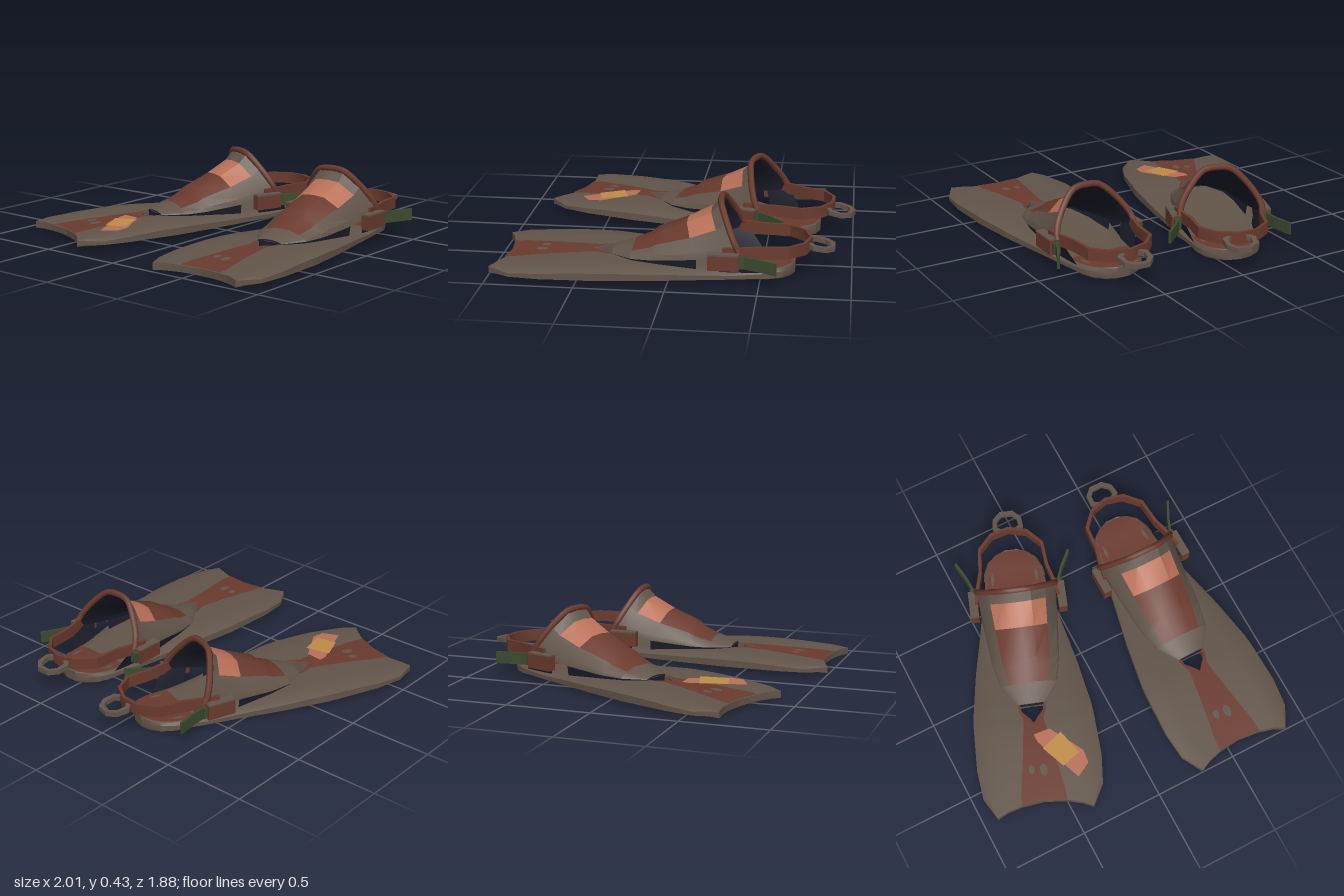
import * as THREE from 'three';
import { toCreasedNormals } from 'three/addons/utils/BufferGeometryUtils.js';

const mat = (name, color, side = THREE.FrontSide) => {
  const m = new THREE.MeshStandardMaterial({ color, side });
  m.name = name;
  return m;
};
const brown = mat('taupe rubber', 0x62554a);
const red = mat('rust red', 0x6a3a2e);
const salmon = mat('salmon', 0xb87058);
const amber = mat('amber', 0xc08c48);
const navy = mat('dark navy', 0x1b1d2a, THREE.DoubleSide);
const green = mat('olive green', 0x3c4a30);

// Piecewise linear curve through [x, value] pairs
const curve = (pts) => (x) => {
  if (x <= pts[0][0]) return pts[0][1];
  for (let i = 1; i < pts.length; i++) {
    const [x0, v0] = pts[i - 1], [x1, v1] = pts[i];
    if (x <= x1) return v0 + (v1 - v0) * (x - x0) / (x1 - x0);
  }
  return pts[pts.length - 1][1];
};

// Skin between rows of points
function loft(rows, flip = false) {
  const pos = [], n = rows[0].length, idx = [];
  rows.forEach((r) => r.forEach((p) => pos.push(...p)));
  for (let i = 0; i < rows.length - 1; i++) {
    for (let j = 0; j < n - 1; j++) {
      const a = i * n + j, b = a + 1, d = a + n, c = d + 1;
      if (flip) idx.push(a, c, b, a, d, c);
      else idx.push(a, b, c, a, c, d);
    }
  }
  const g = new THREE.BufferGeometry();
  g.setAttribute('position', new THREE.Float32BufferAttribute(pos, 3));
  g.setIndex(idx);
  return toCreasedNormals(g, 0.6);
}

function add(parent, name, geo, material) {
  const m = new THREE.Mesh(geo, material);
  m.name = name;
  parent.add(m);
  return m;
}

function box(parent, name, size, at, material) {
  add(parent, name, new THREE.BoxGeometry(...size), material).position.set(...at);
}

// Upright ribbon along [x, z, y] points
function band(parent, name, pts, height, thick, material) {
  const rows = pts.map(([x, z, y], i) => {
    const p = pts[Math.max(i - 1, 0)], q = pts[Math.min(i + 1, pts.length - 1)];
    const dx = q[0] - p[0], dz = q[1] - p[1], k = thick / 2 / Math.hypot(dx, dz);
    const nx = -dz * k, nz = dx * k, h = height / 2;
    return [[x - nx, y + h, z - nz], [x + nx, y + h, z + nz],
      [x + nx, y - h, z + nz], [x - nx, y - h, z - nz], [x - nx, y + h, z - nz]];
  });
  const cap = (r) => [[r[0], r[1]], [r[3], r[2]]];
  add(parent, name, loft(rows), material);
  add(parent, name + 'Start', loft(cap(rows[0]), true), material);
  add(parent, name + 'End', loft(cap(rows[rows.length - 1])), material);
}

// Blade and sole curves along the length
const halfWidth = curve([[-1, .31], [-.9, .355], [-.7, .372], [-.4, .36], [-.1, .31], [.2, .245],
  [.35, .22], [.45, .2], [.55, .185], [.62, .155], [.66, .105], [.685, .04]]);
const holeWidth = curve([[-.46, 0], [-.43, .02], [-.38, .065], [-.34, .07], [-.335, 0]]);
const redWidth = curve([[-1, .135], [-.9, .13], [-.7, .1], [-.5, .07], [-.43, .06], [-.38, .08], [-.335, .085]]);
const topY = curve([[-1, .05], [-.85, .06], [-.5, .077], [-.3, .075], [0, .06], [.35, .045], [.5, .05], [.62, .06]]);
const bottomY = curve([[-.5, .012], [.2, 0]]);
const stations = [-1, -.9, -.7, -.58, -.46, -.43, -.38, -.34, -.335, -.2, -.1, .1, .2, .35, .45, .55, .62, .66, .685];
const tipShift = [.07, .055, .03, 0, .045];
const rise = [0, 0, .005, 0, -.016];

function bladeRow(x, s) {
  const a = holeWidth(x), o = halfWidth(x), r = Math.min(Math.max(redWidth(x), a), o * .6);
  const zs = [a, r, r + (o - r) * .5, r + (o - r) * .85, o];
  const xs = zs.map((_, i) => x + tipShift[i] * Math.max(0, 1 - (x + 1) / .25));
  return {
    top: zs.map((z, i) => [xs[i], topY(x) + rise[i], z * s]),
    bottom: zs.map((z, i) => [xs[i], bottomY(x) + (i === 4 ? .008 : 0), z * s]),
  };
}

function buildBlade(fin) {
  for (const s of [1, -1]) {
    const rows = stations.map((x) => bladeRow(x, s)), last = rows[rows.length - 1];
    add(fin, 'blade', loft(rows.map((r) => [...r.top, ...[...r.bottom].reverse(), r.top[0]]), s < 0), brown);
    add(fin, 'bladeTip', loft([rows[0].top, rows[0].bottom], s > 0), brown);
    add(fin, 'heelEnd', loft([last.top, last.bottom], s < 0), brown);
    // Red centre panel and heel insole
    add(fin, 'bladePanel', loft(rows.slice(0, 9).map((r) =>
      r.top.slice(0, 2).map(([x, y, z]) => [x, y + .004, z])), s < 0), red);
    add(fin, 'insole', loft([.41, .45, .5, .55, .62, .65, .675].map((x) =>
      [0, .9].map((k) => [x, topY(x) + .005, s * k * halfWidth(x)])), s < 0), red);
  }
  box(fin, 'undersideStripe', [.38, .006, .09], [-.74, .0115, 0], red);
}

// Foot pocket rings: x, top height, base height, half width, backward lean
const rings = [
  [-.34, .095, .08, .085, 0], [-.22, .135, .085, .17, 0], [-.13, .175, .09, .195, .02],
  [-.09, .21, .095, .205, .03], [.08, .28, .115, .225, .07], [.215, .35, .145, .24, .1], [.27, .41, .165, .245, .12],
];
const half = [[0, 1], [.33, .96], [.7, .62], [.96, .22], [1, 0]];
const arch = [...half.slice(1).reverse().map(([z, y]) => [-z, y]), ...half];
const ringPoints = ([x, top, base, w, lean], inset = 0) => arch.map(([u, f]) =>
  [x + lean * (1 - f), base + (top - base) * f - inset * f, u * (w - inset)]);

function buildPocket(fin) {
  const rows = rings.map((r) => ringPoints(r));
  const part = (name, r0, r1, c0, c1, m) =>
    add(fin, name, loft(rows.slice(r0, r1 + 1).map((r) => r.slice(c0, c1 + 1))), m);
  part('pocketNose', 0, 1, 0, 8, brown);
  part('pocketSideRight', 1, 6, 0, 2, brown);
  part('pocketSideLeft', 1, 6, 6, 8, brown);
  part('pocketTop', 1, 4, 2, 6, red);
  part('pocketBand', 4, 5, 2, 6, salmon);
  part('pocketEdge', 5, 6, 2, 6, brown);
  add(fin, 'pocketLining', loft(rings.map((r) => ringPoints(r, .01)), true), navy);

  // Raised rim round the opening
  const path = new THREE.CatmullRomCurve3(rows[6].map((p) => new THREE.Vector3(...p)));
  add(fin, 'cuffRim', new THREE.TubeGeometry(path, 20, .019, 6), red);

  // Dark wall between pocket and sole
  const side = (s) => rings.slice(0, 5).map(([x, , base, w, lean]) => [x + lean, base + .003, s * (w - .008)]);
  const edge = [...side(-1).reverse(), ...side(1)];
  add(fin, 'pocketWall', loft([edge, edge.map(([x, , z]) => [x, .045, z * .95])]), navy);
  for (const s of [1, -1]) {
    add(fin, 'cuffPost', loft([[[.24, .155, s * .238], [.4, .17, s * .238]],
      [[.28, .04, s * .21], [.5, .04, s * .185]]]), navy);
  }
}

function buildStrap(fin, tails) {
  const run = [[.3, .25], [.39, .235], [.5, .205], [.65, .192], [.74, .11], [.77, 0]];
  const mirrored = run.slice(0, -1).reverse().map(([x, z]) => [x, -z]);
  band(fin, 'heelStrap', [...run, ...mirrored].map(([x, z]) => [x, z, .165]), .068, .02, red);
  band(fin, 'pullLoop', [[.765, .05, .165], [.79, .08, .16], [.85, .075, .15], [.89, .035, .145],
    [.89, -.035, .145], [.85, -.075, .15], [.79, -.08, .16], [.765, -.05, .165]], .028, .03, brown);
  for (const s of [1, -1]) {
    box(fin, 'buckle', [.17, .085, .05], [.305, .125, s * .27], red);
    box(fin, 'buckleCover', [.17, .009, .052], [.305, .171, s * .27], brown);
    box(fin, 'buckleCatch', [.03, .065, .04], [.4, .125, s * .262], green);
  }
  for (const s of tails) {
    band(fin, 'strapTail', [[.39, s * .255, .125], [.49, s * .295, .125], [.595, s * .35, .125]], .07, .015, green);
  }
}

// Flat patch following the blade surface, from [x, z] corners
function patch(fin, name, pts, lift, material) {
  const g = new THREE.ShapeGeometry(new THREE.Shape(pts.map(([x, z]) => new THREE.Vector2(x, -z))));
  g.rotateX(-Math.PI / 2);
  const p = g.attributes.position;
  for (let i = 0; i < p.count; i++) p.setY(i, topY(p.getX(i)) + lift);
  g.computeVertexNormals();
  add(fin, name, g, material);
}

function spot(fin, x, z, rx, rz) {
  const pts = [0, 1, 2, 3, 4, 5].map((i) => [x + rx * Math.cos(i * Math.PI / 3), z + rz * Math.sin(i * Math.PI / 3)]);
  patch(fin, 'wornSpot', pts, .006, brown);
}

function buildFin(name, tails) {
  const fin = new THREE.Group();
  fin.name = name;
  buildBlade(fin);
  buildPocket(fin);
  buildStrap(fin, tails);
  spot(fin, -.75, .02, .04, .025);
  spot(fin, -.74, -.05, .03, .02);
  return fin;
}

export function createModel() {
  const model = new THREE.Group();
  model.name = 'swimFins';
  const front = buildFin('frontFin', [1]);
  front.position.z = .575;
  const rear = buildFin('rearFin', [1, -1]);
  rear.position.set(.147, 0, -.31);
  rear.rotation.y = -.342;
  // Bright patch on the rear blade
  patch(rear, 'bladePatch', [[-.821, .218], [-.744, .286], [-.665, .268], [-.508, .085],
    [-.532, -.012], [-.579, .004], [-.7, .111]], .01, salmon);
  patch(rear, 'bladePatchCentre', [[-.744, .137], [-.623, .03], [-.538, .149], [-.675, .24]], .014, amber);
  model.add(front, rear);
  return model;
}
